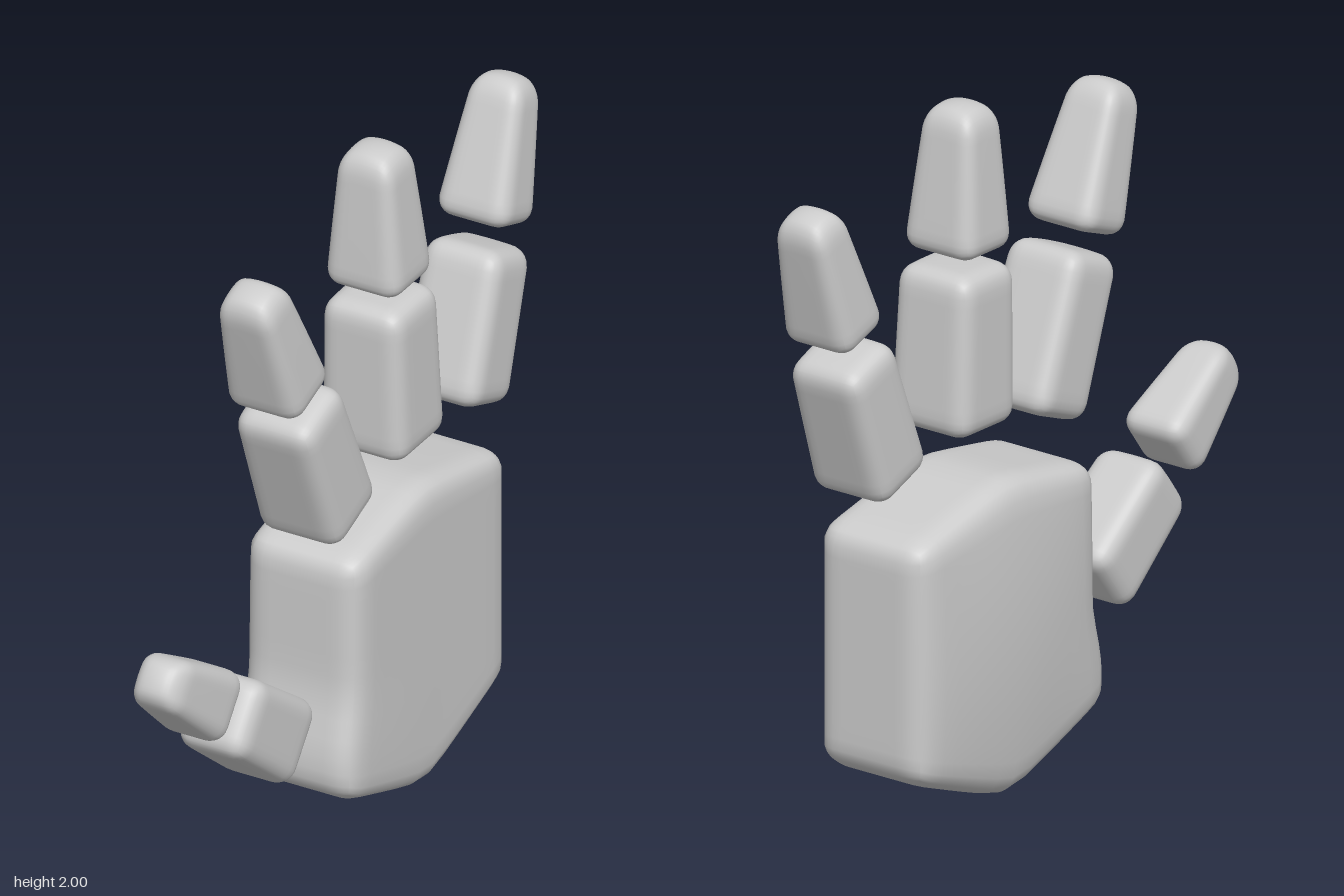
import * as THREE from 'three';
import { mergeVertices } from 'three/addons/utils/BufferGeometryUtils.js';

const material = new THREE.MeshStandardMaterial({ color: 0xcccccc });

// Rounded, subdivided block with half sizes hx, hy, hz, then bent by warp(point)
function softBlock(hx, hy, hz, radius, warp) {
  const half = new THREE.Vector3(hx, hy, hz);
  const inner = half.clone().subScalar(radius);
  const geo = new THREE.BoxGeometry(2, 2, 2, 18, 18, 18);
  geo.deleteAttribute('uv');
  geo.deleteAttribute('normal');
  const pos = geo.attributes.position;
  const p = new THREE.Vector3(), core = new THREE.Vector3();
  const spread = (t) => Math.sin(t * Math.PI / 2); // denser rows near the edges
  for (let i = 0; i < pos.count; i++) {
    p.fromBufferAttribute(pos, i);
    p.set(spread(p.x), spread(p.y), spread(p.z)).multiply(half);
    core.copy(p).clamp(inner.clone().negate(), inner);
    p.sub(core).setLength(radius).add(core);
    warp(p);
    pos.setXYZ(i, p.x, p.y, p.z);
  }
  const merged = mergeVertices(geo, 1e-5);
  merged.computeVertexNormals();
  return merged;
}

// Tapered finger bone from base [z, y] to end [z, y]
function bone(name, base, end, width, thickness, taper, dome) {
  const dz = end[0] - base[0], dy = end[1] - base[1];
  const hx = thickness / 2, hy = Math.hypot(dz, dy) / 2, hz = width / 2;
  const geo = softBlock(hx, hy, hz, 0.055, (p) => {
    const t = (p.y / hy + 1) / 2;
    const spreadOut = ((p.x / hx) ** 2 + (p.z / hz) ** 2) / 2;
    const s = 1 + (taper - 1) * t;
    p.x *= s;
    p.z *= s;
    p.y -= dome * spreadOut * t * t;
  });
  const mesh = new THREE.Mesh(geo, material);
  mesh.name = name;
  mesh.position.set(0.045, (base[1] + end[1]) / 2, (base[0] + end[0]) / 2);
  mesh.rotation.x = Math.atan2(dz, dy);
  return mesh;
}

// Palm: peaked top and bottom, domed back, flare at the thumb root
function palm() {
  const hx = 0.187, hy = 0.47, hz = 0.415;
  const geo = softBlock(hx, hy, hz, 0.075, (p) => {
    const u = p.z / hz, v = p.y / hy, w = (v + 1) / 2;
    const slope = Math.sqrt((u - 0.04) ** 2 + 0.012) - 0.11;
    const low = 1 - THREE.MathUtils.smoothstep(v, -0.75, -0.05);
    if (p.x < 0) p.x += 0.035 * (1 - u * u) * (1 - v * v) * (p.x / hx);
    else p.x += 0.012 * low * Math.max(u, 0);
    p.z += 0.05 * low * Math.max(u, 0);
    p.y += -0.085 * slope * w + 0.17 * slope * (1 - w);
  });
  const mesh = new THREE.Mesh(geo, material);
  mesh.name = 'palm';
  mesh.position.set(0.007, 0.467, -0.295);
  return mesh;
}

export function createModel() {
  const hand = new THREE.Group();
  hand.name = 'hand';
  hand.add(palm());

  // Each digit: lower bone ends, tip bone ends (z, y), overall width and thickness
  const digits = [
    { name: 'thumb', lower: [[0.325, 0.39], [0.63, 0.62]], tip: [[0.68, 0.665], [0.965, 0.875]], width: 0.25, thick: 0.24 },
    { name: 'indexFinger', lower: [[0.072, 0.98], [0.252, 1.417]], tip: [[0.285, 1.458], [0.445, 1.855]], width: 0.245, thick: 0.272 },
    { name: 'middleFinger', lower: [[-0.27, 1.055], [-0.25, 1.532]], tip: [[-0.245, 1.568], [-0.227, 2.0]], width: 0.265, thick: 0.275 },
    { name: 'littleFinger', lower: [[-0.637, 1.01], [-0.787, 1.435]], tip: [[-0.805, 1.493], [-0.937, 1.895]], width: 0.235, thick: 0.265 },
  ];
  for (const d of digits) {
    const digit = new THREE.Group();
    digit.name = d.name;
    digit.add(
      bone(d.name + 'Lower', ...d.lower, d.width, d.thick, 0.92, 0.01),
      bone(d.name + 'Tip', ...d.tip, d.width * 0.87, d.thick * 0.91, 0.68, 0.04),
    );
    hand.add(digit);
  }
  return hand;
}
